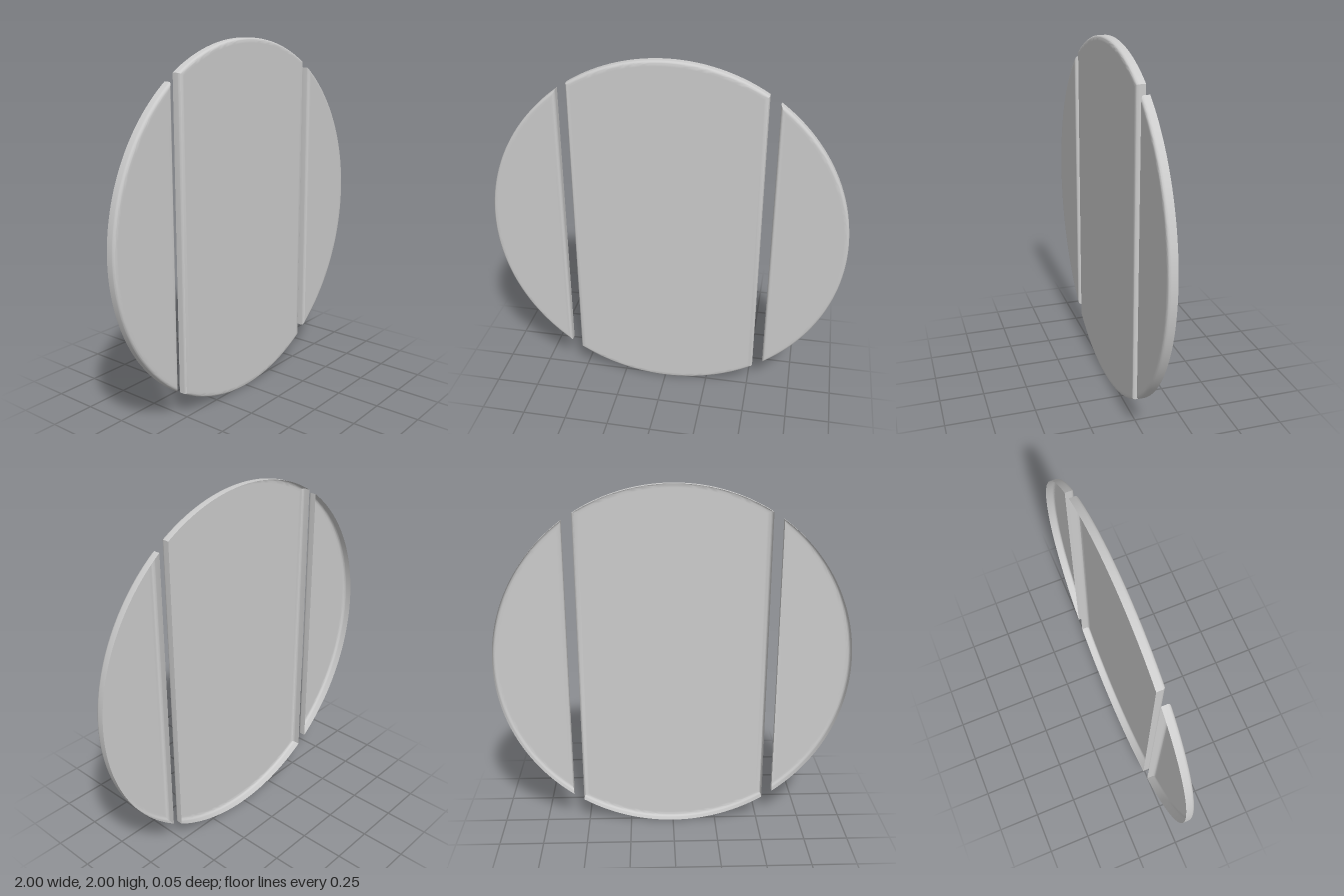
import * as THREE from 'three';
import { toCreasedNormals } from 'three/addons/utils/BufferGeometryUtils.js';

const HALF_DEPTH = 0.024, FILLET = 0.016, ARC_STEPS = 40;

// Counter-clockwise outline of the unit disc between x = a and x = b, inset by d
function outline(a, b, d) {
  const r = 1 - d;
  const start = Math.acos(Math.min(1, (b - d) / r));
  const end = Math.acos((a + d) / r);
  const angles = [];
  for (let i = 0; i <= ARC_STEPS; i++) angles.push(start + (end - start) * i / ARC_STEPS);
  const lower = angles.map(t => -t).reverse();
  if (b === 1) lower.pop(); // the arc closes on itself at its outermost point
  return [...angles, ...lower].map(t => [r * Math.cos(t), 1 + r * Math.sin(t)]);
}

// Pressed panel: straight wall, rounded front edge, flat front, open back
function panelGeometry(a, b) {
  const profile = [[0, -HALF_DEPTH]];
  for (let i = 0; i <= 5; i++) {
    const t = i / 5 * Math.PI / 2;
    profile.push([FILLET * (1 - Math.cos(t)), HALF_DEPTH - FILLET * (1 - Math.sin(t))]);
  }
  profile.push([FILLET + 0.012, HALF_DEPTH]);
  const rings = profile.map(([d, z]) => outline(a, b, d).map(([x, y]) => [x, y, z]));
  const n = rings[0].length;
  const pos = [];
  for (let k = 0; k < rings.length - 1; k++) {
    for (let i = 0; i < n; i++) {
      const j = (i + 1) % n, p = rings[k], q = rings[k + 1];
      pos.push(...p[i], ...p[j], ...q[j], ...p[i], ...q[j], ...q[i]);
    }
  }
  // Flat front face as a fan
  const last = rings[rings.length - 1];
  const centre = [(a + b) / 2, 1, HALF_DEPTH];
  for (let i = 0; i < n; i++) pos.push(...last[i], ...last[(i + 1) % n], ...centre);

  const geometry = new THREE.BufferGeometry();
  geometry.setAttribute('position', new THREE.Float32BufferAttribute(pos, 3));
  return toCreasedNormals(geometry, 0.5);
}

export function createModel() {
  const group = new THREE.Group();
  const material = new THREE.MeshStandardMaterial({ color: 0xcccccc, side: THREE.DoubleSide });
  const add = (name, geometry) => {
    const mesh = new THREE.Mesh(geometry, material);
    mesh.name = name;
    group.add(mesh);
    return mesh;
  };
  add('centrePanel', panelGeometry(-0.527, 0.527));
  // Side segments; the right one is the left one turned half a turn about z
  const side = panelGeometry(0.585, 1);
  add('leftPanel', side);
  const right = add('rightPanel', side);
  right.rotation.z = Math.PI;
  right.position.y = 2;
  return group;
}
